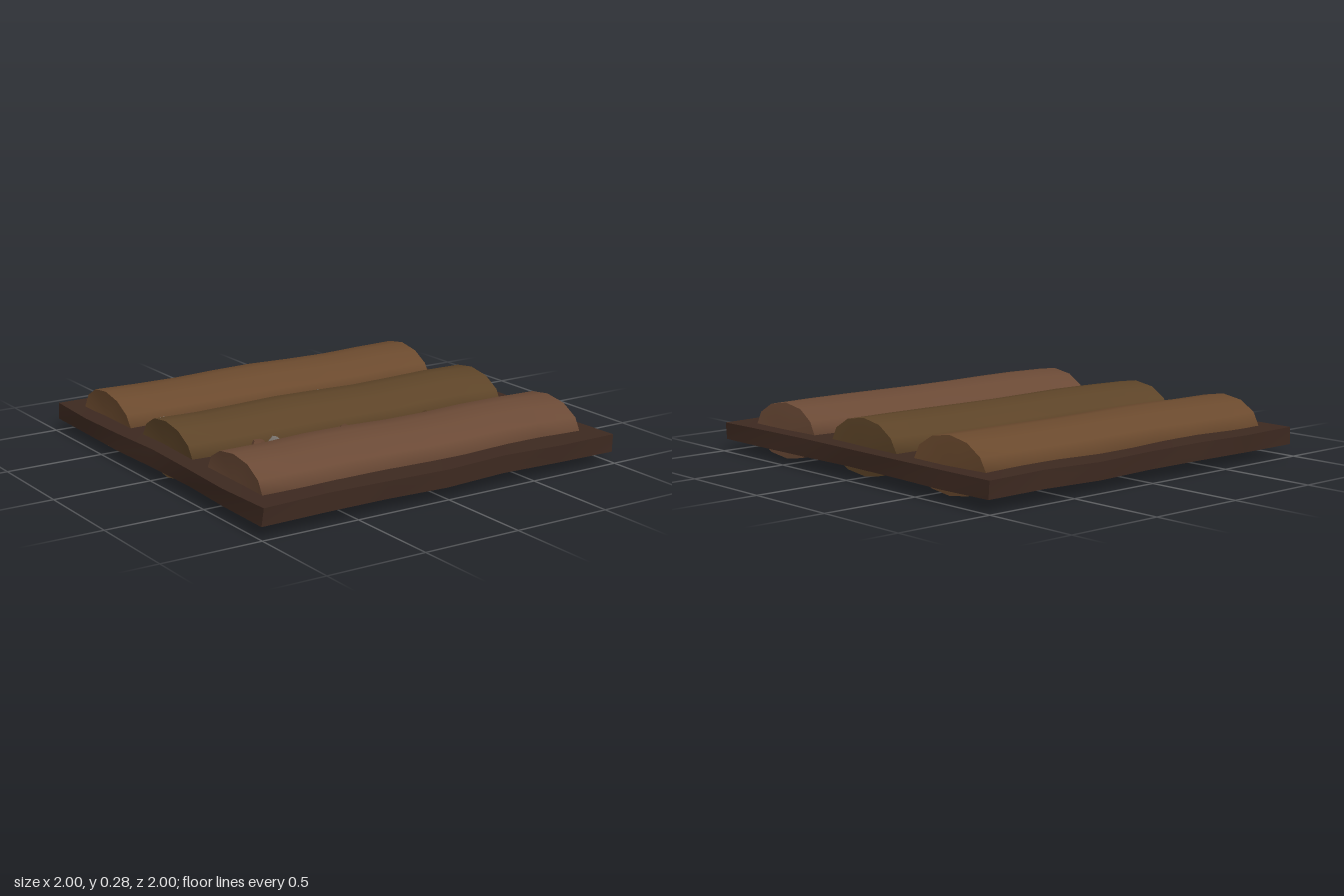
import * as THREE from 'three';
import { toCreasedNormals } from 'three/addons/utils/BufferGeometryUtils.js';

// Gentle, position-based unevenness so shared corners stay joined
function roughen(geometry, amount, phase) {
  const p = geometry.attributes.position;
  for (let i = 0; i < p.count; i++) {
    const x = p.getX(i), y = p.getY(i), z = p.getZ(i);
    p.setXYZ(i,
      x + amount * Math.sin(z * 5.3 + y * 17 + phase),
      y + amount * 0.45 * Math.sin(x * 6.1 + z * 4.3 + phase * 2),
      z + amount * Math.sin(x * 7.7 + y * 9 + phase * 3));
  }
  return geometry;
}

function addMesh(parent, name, geometry, color, flatShading = false) {
  const mesh = new THREE.Mesh(geometry, new THREE.MeshStandardMaterial({ color, flatShading }));
  mesh.name = name;
  parent.add(mesh);
  return mesh;
}

export function createModel() {
  const model = new THREE.Group();
  model.name = 'ploughedSoilPlot';

  // Flat bed of dark soil with wavy edges
  const bed = roughen(new THREE.BoxGeometry(1.983, 0.085, 1.983, 6, 1, 6), 0.008, 0.6);
  addMesh(model, 'soilBed', toCreasedNormals(bed, 0.5), 0x3d2920).position.y = 0.11;

  // Three rounded furrow ridges lying along x, sunk through the bed
  const ridges = [
    { name: 'backRidge', z: -0.61, color: 0x6b4a2e },
    { name: 'middleRidge', z: 0, color: 0x5d4428 },
    { name: 'frontRidge', z: 0.61, color: 0x6b4a36 },
  ];
  ridges.forEach(({ name, z, color }, i) => {
    const g = new THREE.CylinderGeometry(1, 1, 1.8, 12, 8);
    g.rotateZ(Math.PI / 2);
    g.scale(1, 0.138, 0.245);
    roughen(g, 0.007, 1.3 + i * 0.4);
    addMesh(model, name, toCreasedNormals(g, 1.0), color).position.set(-0.003, 0.146, z);
  });

  // Clods and pebbles scattered in the furrows: x, z, radius, pebble flag
  const stones = [
    [-0.73, -0.365, 0.03, 1], [-0.59, -0.365, 0.028, 0], [-0.775, -0.305, 0.028, 0],
    [-0.375, -0.265, 0.045, 0], [-0.26, -0.25, 0.033, 0], [-0.18, -0.24, 0.03, 0],
    [-0.13, -0.275, 0.04, 1], [0, -0.335, 0.025, 0], [0.16, -0.33, 0.038, 1],
    [0.25, -0.315, 0.032, 0], [0.38, -0.29, 0.042, 0], [0.555, -0.275, 0.043, 0],
    [0.685, -0.25, 0.042, 0], [-0.56, 0.26, 0.043, 0], [-0.465, 0.24, 0.036, 1],
    [-0.08, 0.275, 0.042, 0], [-0.085, 0.33, 0.03, 1], [0.415, 0.255, 0.028, 0],
    [0.36, 0.345, 0.035, 0], [-0.73, 0.36, 0.032, 0],
  ];
  const scatter = new THREE.Group();
  scatter.name = 'scatteredStones';
  model.add(scatter);
  stones.forEach(([x, z, r, pebble], i) => {
    const color = pebble ? 0x77716a : [0x5a3d2b, 0x654431, 0x513a22][i % 3];
    const stone = addMesh(scatter, pebble ? 'pebble' : 'soilClod', new THREE.DodecahedronGeometry(r, 0), color, true);
    stone.position.set(x, 0.162, z);
    stone.rotation.set(i * 1.7, i * 2.3, i * 0.9);
    stone.scale.y = 0.85;
  });

  return model;
}
